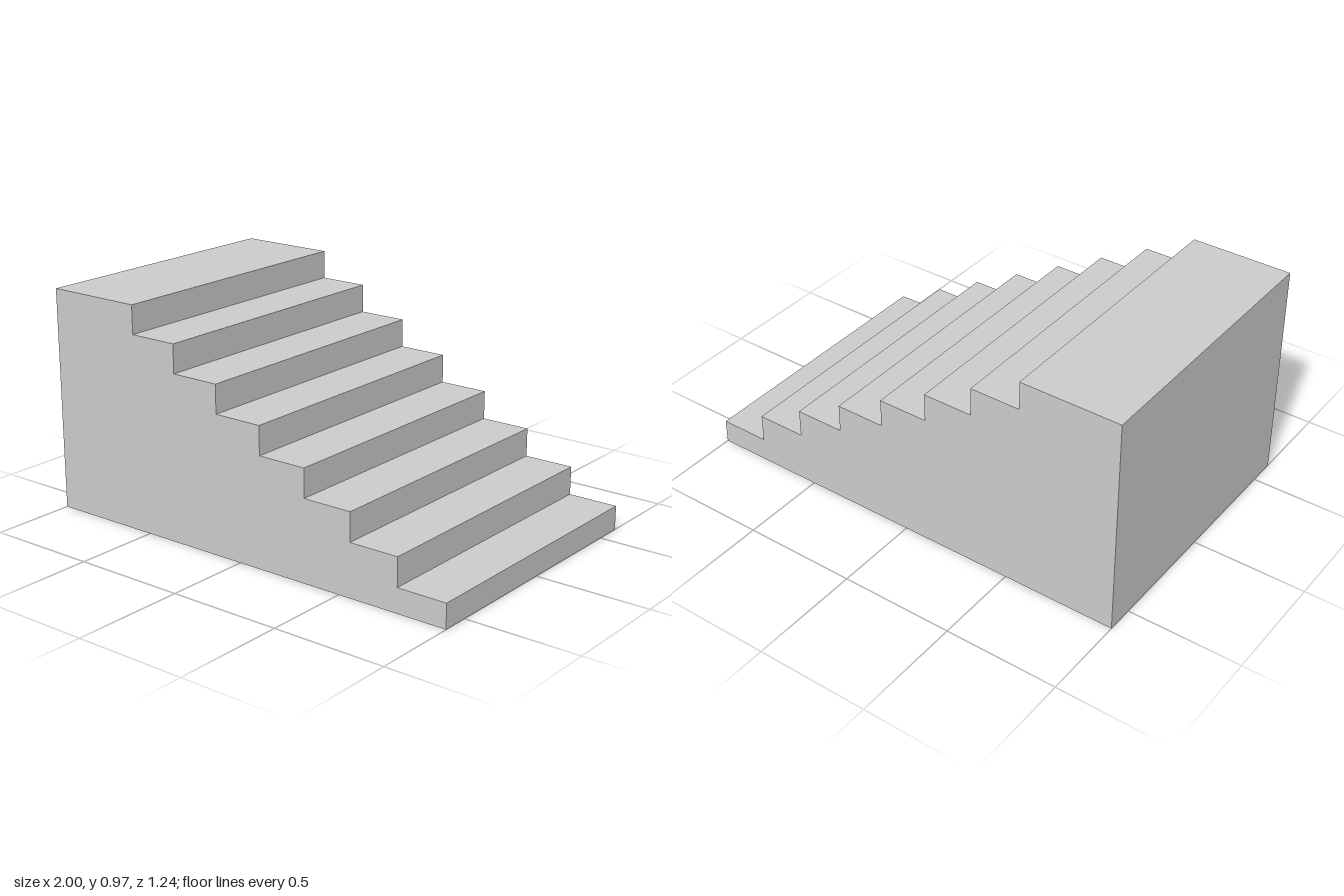
import * as THREE from 'three';

const STEPS = 8;        // seven treads plus the landing
const TREAD = 0.2227;   // depth of each tread
const RISER = 0.1241;   // height of each riser
const FIRST = 0.106;    // the lowest riser is shorter
const WIDTH = 1.24;

export function createModel() {
  const group = new THREE.Group();
  group.name = 'staircase';

  // Stepped side profile, climbing from +x to the landing at -x
  const profile = new THREE.Shape();
  profile.moveTo(-1, 0);
  profile.lineTo(1, 0);
  for (let i = 0; i < STEPS; i++) {
    const y = FIRST + i * RISER;
    profile.lineTo(1 - i * TREAD, y);
    profile.lineTo(i < STEPS - 1 ? 1 - (i + 1) * TREAD : -1, y);
  }
  profile.closePath();

  // Solid flight of stairs, centred across its width
  const geometry = new THREE.ExtrudeGeometry(profile, { depth: WIDTH, bevelEnabled: false });
  geometry.translate(0, 0, -WIDTH / 2);
  const stairs = new THREE.Mesh(
    geometry,
    new THREE.MeshStandardMaterial({ color: 0xcccccc, flatShading: true })
  );
  stairs.name = 'stairFlight';
  group.add(stairs);

  return group;
}
